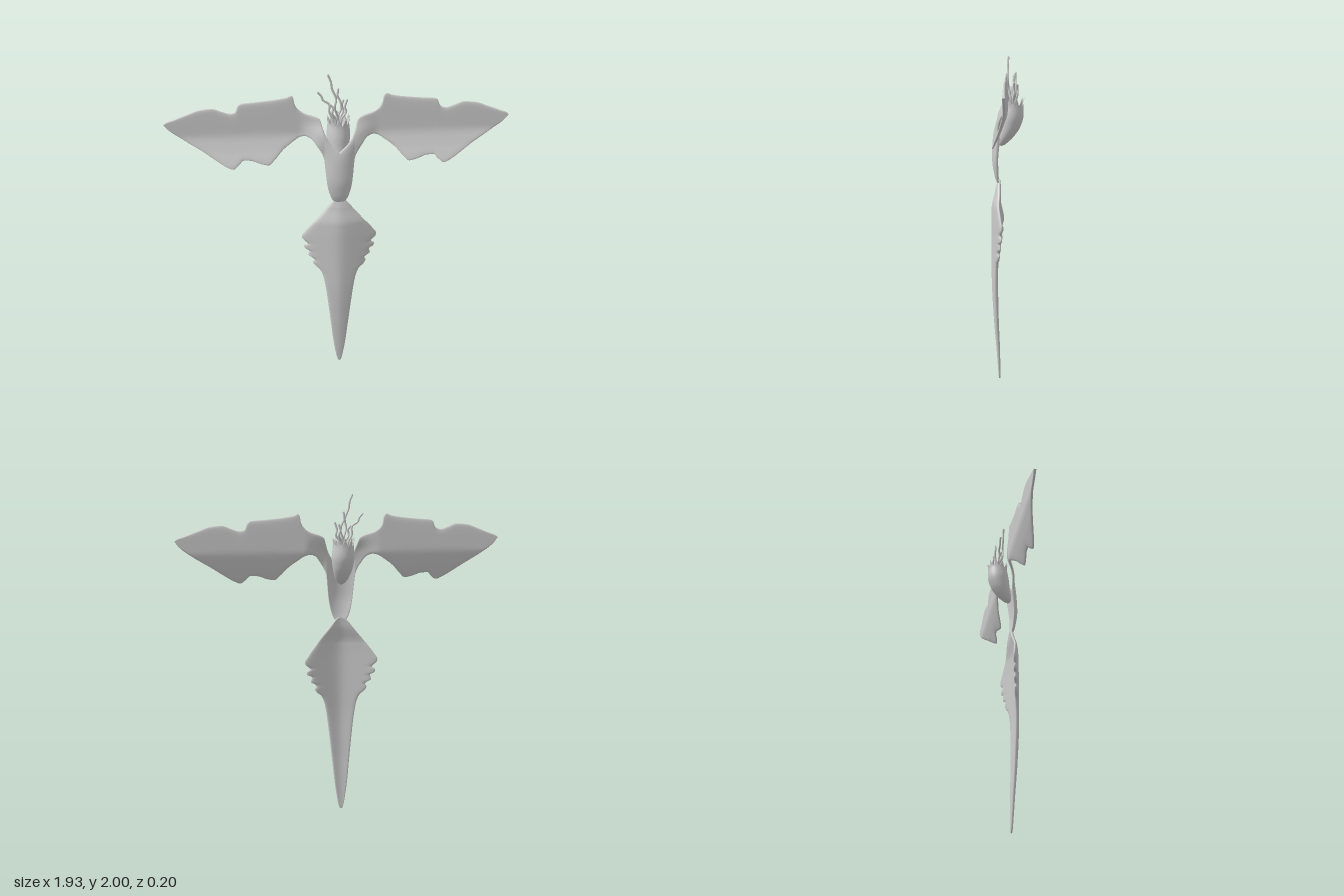
import * as THREE from 'three';

const material = new THREE.MeshStandardMaterial({ color: 0xcccccc, side: THREE.DoubleSide });

// Smooth, overshoot-free interpolation through [t, value] points
function curve(pts) {
  const n = pts.length;
  const sec = (i) => (pts[i + 1][1] - pts[i][1]) / (pts[i + 1][0] - pts[i][0]);
  const slope = pts.map((p, i) => {
    if (i === 0) return sec(0);
    if (i === n - 1) return sec(n - 2);
    const a = sec(i - 1), b = sec(i);
    return a * b <= 0 ? 0 : (2 * a * b) / (a + b);
  });
  return (t) => {
    let i = 0;
    while (i < n - 2 && t > pts[i + 1][0]) i++;
    const h = pts[i + 1][0] - pts[i][0];
    const s = Math.min(1, Math.max(0, (t - pts[i][0]) / h));
    const s2 = s * s, s3 = s2 * s;
    return (2 * s3 - 3 * s2 + 1) * pts[i][1] + (s3 - 2 * s2 + s) * h * slope[i]
      + (3 * s2 - 2 * s3) * pts[i + 1][1] + (s3 - s2) * h * slope[i + 1];
  };
}

// Skin over closed rings that all have the same number of points
function loft(name, rings) {
  const m = rings[0].length, index = [];
  for (let r = 0; r < rings.length - 1; r++) {
    for (let j = 0; j < m; j++) {
      const k = (j + 1) % m;
      const a = r * m + j, b = r * m + k, c = b + m, d = a + m;
      index.push(a, b, c, a, c, d);
    }
  }
  const geo = new THREE.BufferGeometry();
  geo.setAttribute('position', new THREE.Float32BufferAttribute(rings.flat(2), 3));
  geo.setIndex(index);
  geo.computeVertexNormals();
  const mesh = new THREE.Mesh(geo, material);
  mesh.name = name;
  return mesh;
}

// Section of a thin plate: s runs -1..1 along the front, then back; side gives rounded rims
function plateRing(half, point) {
  const ring = [], n = 22;
  for (let i = 0; i < 2 * n; i++) {
    const lin = i <= n ? (2 * i) / n - 1 : 3 - (2 * i) / n;
    const s = Math.sin((lin * Math.PI) / 2);
    const t = half * Math.sqrt(Math.max(0, 1 - s ** 12)) * (i <= n ? 1 : -1);
    ring.push(point(s, t));
  }
  return ring;
}

// Curved tail blade with notched sides
function makeBlade() {
  const width = curve([[0, 0], [0.006, 0.009], [0.03, 0.017], [0.08, 0.026], [0.18, 0.04], [0.35, 0.057],
    [0.5, 0.072], [0.64, 0.088], [0.72, 0.102], [0.77, 0.122], [0.795, 0.15], [0.82, 0.163], [0.84, 0.155],
    [0.852, 0.165], [0.868, 0.19], [0.885, 0.187], [0.9, 0.183], [0.918, 0.213], [0.935, 0.215],
    [0.953, 0.195], [0.985, 0.224], [1.0, 0.227], [1.04, 0.205], [1.128, 0.137], [1.2, 0.078],
    [1.245, 0.042], [1.265, 0.02], [1.27, 0]]);
  const ridge = curve([[0, 0.048], [0.2, 0.06], [0.4, 0.074], [0.7, 0.086], [1.0, 0.086],
    [1.1, 0.084], [1.2, 0.062], [1.27, 0.05]]);
  const rings = [];
  for (let i = 0; i <= 300; i++) {
    const y = (1.27 * i) / 300, w = width(y);
    const thick = Math.min(0.011, 0.004 + w * 0.1);
    rings.push(plateRing(thick, (s, t) => {
      const x = s * w;
      const fold = 0.29 * (Math.hypot(x, 0.03) - 0.03);
      return [x, y, ridge(y) - fold + t];
    }));
  }
  return loft('blade', rings);
}

// Body shell and both wings as one thin skin
function makeWings() {
  const top = curve([[0, 1.575], [0.04, 1.61], [0.07, 1.65], [0.09, 1.70], [0.108, 1.752], [0.13, 1.765],
    [0.19, 1.785], [0.225, 1.81], [0.243, 1.84], [0.25, 1.88], [0.262, 1.89], [0.29, 1.88], [0.36, 1.868],
    [0.46, 1.858], [0.535, 1.852], [0.55, 1.843], [0.568, 1.806], [0.6, 1.796], [0.64, 1.808],
    [0.7, 1.828], [0.76, 1.823], [0.836, 1.798], [0.91, 1.77], [0.95, 1.755], [0.963, 1.742]]);
  const bottom = curve([[0, 1.234], [0.025, 1.24], [0.042, 1.262], [0.06, 1.31], [0.072, 1.37],
    [0.08, 1.45], [0.088, 1.53], [0.12, 1.595], [0.16, 1.645], [0.19, 1.654], [0.217, 1.648],
    [0.26, 1.622], [0.317, 1.58], [0.365, 1.53], [0.4, 1.503], [0.44, 1.51], [0.5, 1.53], [0.54, 1.532],
    [0.565, 1.51], [0.6, 1.487], [0.635, 1.5], [0.677, 1.526], [0.77, 1.59], [0.86, 1.648],
    [0.94, 1.71], [0.963, 1.742]]);
  const spine = curve([[1.23, 0.05], [1.3, 0.072], [1.4, 0.085], [1.5, 0.081], [1.6, 0.067],
    [1.66, 0.05], [1.75, 0.014], [1.9, 0]]);
  const sail = curve([[1.48, 0.07], [1.53, 0.049], [1.6, 0.021], [1.68, 0], [1.9, 0]]);
  const depth = (x, y) => {
    const round = 0.03 * Math.min(1, (x / 0.085) ** 2) * (1 - THREE.MathUtils.smoothstep(y, 1.5, 1.7));
    const k = THREE.MathUtils.smoothstep(x, 0.08, 0.23);
    return (spine(y) - round) * (1 - k) + sail(y) * k;
  };
  const rings = [], n = 190;
  for (let i = -n; i <= n; i++) {
    const ax = 0.963 * (Math.abs(i) / n) ** 1.3, x = Math.sign(i) * ax;
    const hi = top(ax), lo = bottom(ax);
    rings.push(plateRing(0.007, (s, t) => {
      const y = (hi + lo) / 2 - (s * (hi - lo)) / 2;
      return [x, y, depth(ax, y) + t];
    }));
  }
  return loft('wingsAndBody', rings);
}

// Leaning bud behind the body, hollow at the top with a toothed rim
function makeBud() {
  const centre = curve([[1.47, 0.036], [1.53, 0.005], [1.58, -0.016], [1.64, -0.029], [1.7, -0.034], [1.8, -0.037]]);
  const radius = curve([[1.47, 0], [1.475, 0.012], [1.49, 0.027], [1.53, 0.047], [1.58, 0.06],
    [1.64, 0.067], [1.69, 0.063], [1.71, 0.06]]);
  const rings = [], sides = 80, teeth = 10;
  const ring = (fn) => rings.push(Array.from({ length: sides }, (_, j) => {
    const a = (j / sides) * Math.PI * 2;
    const f = ((j * teeth) / sides) % 1;
    const [y, r] = fn((1 - Math.abs(2 * f - 1)) ** 1.3);
    return [Math.cos(a) * r, y, centre(y) - Math.sin(a) * r];
  }));
  for (let i = 0; i <= 24; i++) {
    const y = 1.47 + 0.23 * (i / 24) ** 1.4;
    ring(() => [y, radius(y)]);
  }
  ring((t) => [1.705 + 0.025 * t, 0.061]);
  ring((t) => [1.71 + 0.048 * t, 0.061 + 0.006 * t]);
  ring((t) => [1.705 + 0.025 * t, 0.053]);
  ring(() => [1.69, 0.05]);
  ring(() => [1.66, 0.04]);
  ring(() => [1.655, 0]);
  return loft('bud', rings);
}

// Wavy tendrils rising from the bud
function makeTendrils() {
  const group = new THREE.Group();
  group.name = 'tendrils';
  const paths = [
    [-0.005, [0, 1.66], [-0.005, 1.75], [-0.022, 1.81], [-0.014, 1.86], [-0.037, 1.92], [-0.043, 1.96], [-0.058, 1.997]],
    [-0.035, [-0.025, 1.66], [-0.03, 1.73], [-0.05, 1.77], [-0.052, 1.82], [-0.085, 1.845], [-0.095, 1.87], [-0.112, 1.89]],
    [-0.05, [0.005, 1.66], [0, 1.74], [0.018, 1.79], [0.012, 1.83], [-0.002, 1.86], [0.001, 1.9]],
    [-0.04, [0.015, 1.66], [0.02, 1.73], [0.045, 1.77], [0.038, 1.8], [0.05, 1.84]],
    [-0.06, [0.01, 1.66], [0.012, 1.73], [0.03, 1.77], [0.022, 1.8], [0.03, 1.83]],
    [-0.02, [-0.02, 1.66], [-0.015, 1.73], [-0.035, 1.77], [-0.03, 1.8], [-0.045, 1.82]],
  ];
  for (const [z, ...pts] of paths) {
    const path = new THREE.CatmullRomCurve3(pts.map(([x, y], i) =>
      new THREE.Vector3(x, y, THREE.MathUtils.lerp(-0.035, z, Math.min(1, i / 2)))));
    const tube = new THREE.Mesh(new THREE.TubeGeometry(path, 40, 0.006, 8), material);
    tube.name = 'tendril';
    const tip = new THREE.Mesh(new THREE.SphereGeometry(0.006, 8, 6), material);
    tip.name = 'tendrilTip';
    tip.position.copy(path.getPoint(1));
    group.add(tube, tip);
  }
  return group;
}

export function createModel() {
  const model = new THREE.Group();
  model.name = 'wingedBlade';
  model.add(makeBlade(), makeWings(), makeBud(), makeTendrils());
  return model;
}
